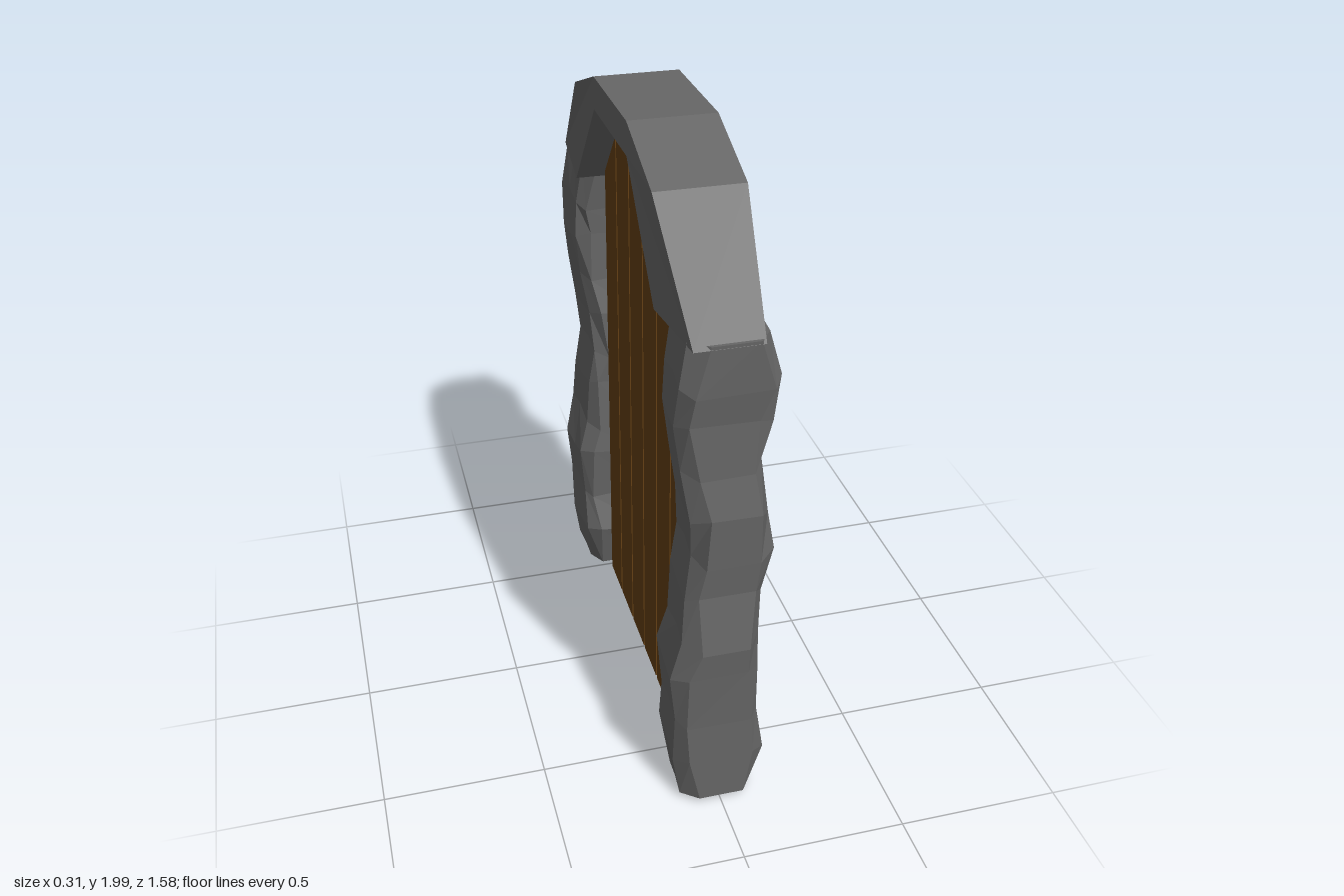
import * as THREE from 'three';

const mat = (color, flatShading = true) =>
  new THREE.MeshStandardMaterial({ color, flatShading, roughness: 0.9 });

// Extrude an outline drawn in (z, y) along x, from x0 to x1
function slab(outline, x0, x1) {
  const shape = new THREE.Shape(outline.map(([z, y]) => new THREE.Vector2(-z, y)));
  return new THREE.ExtrudeGeometry(shape, { depth: x1 - x0, bevelEnabled: false })
    .rotateY(Math.PI / 2).translate(x0, 0, 0);
}

// Rough pillar rings: y, back x, front x, inner z, outer z
const RINGS = [
  [0.03, -0.12, 0.115, 0.52, 0.765], [0.17, -0.14, 0.15, 0.475, 0.765],
  [0.33, -0.14, 0.12, 0.515, 0.765], [0.5, -0.155, 0.12, 0.495, 0.78],
  [0.62, -0.125, 0.115, 0.5, 0.79], [0.78, -0.115, 0.12, 0.51, 0.765],
  [0.91, -0.095, 0.15, 0.505, 0.775], [1.05, -0.105, 0.13, 0.505, 0.785],
  [1.2, -0.13, 0.11, 0.53, 0.765], [1.34, -0.145, 0.135, 0.53, 0.762],
  [1.46, -0.14, 0.15, 0.525, 0.775], [1.6, -0.118, 0.115, 0.5, 0.783],
];

// Loft of chamfered sections; side = 1 or -1 mirrors it in z
function pillarGeometry(side) {
  const pos = [], index = [], n = 10;
  RINGS.forEach(([y, xb, xf, zi, zo], r) => {
    const c = 0.045 + 0.012 * Math.sin(r * 2.3), d = 0.04 + 0.012 * Math.cos(r * 1.7);
    const mid = (zi + zo) / 2 + 0.015 * Math.sin(r * 1.9);
    const section = [
      [xf, zi + c], [xf - 0.008, mid], [xf - 0.01, zo - d], [xf - c, zo], [xb + d, zo],
      [xb, zo - c], [xb + 0.008, mid], [xb + 0.01, zi + d], [xb + c, zi], [xf - d, zi],
    ];
    section.forEach(([x, z], k) => {
      const wobble = r === 0 ? -0.022 * (zo - z) / (zo - zi)
        : r === RINGS.length - 1 ? 0 : 0.018 * Math.sin(r * 3.1 + k * 1.4);
      pos.push(x, y + wobble, z * side);
    });
  });
  const tri = (a, b, c) => (side > 0 ? index.push(a, b, c) : index.push(a, c, b));
  for (let r = 0; r < RINGS.length - 1; r++) {
    for (let k = 0; k < n; k++) {
      const a = r * n + k, b = r * n + (k + 1) % n;
      tri(a, a + n, b);
      tri(b, a + n, b + n);
    }
  }
  // bottom and top caps
  const top = (RINGS.length - 1) * n;
  for (let k = 1; k < n - 1; k++) {
    tri(0, k, k + 1);
    tri(top, top + k + 1, top + k);
  }
  const g = new THREE.BufferGeometry();
  g.setAttribute('position', new THREE.Float32BufferAttribute(pos, 3));
  g.setIndex(index);
  g.computeVertexNormals();
  return g;
}

function archGeometry() {
  const half = [[0.49, 1.575], [0.783, 1.59], [0.47, 1.9], [0.2, 2]];
  const mirrored = half.map(([z, y]) => [-z, y]).reverse();
  const g = slab([...half, ...mirrored, [-0.2, 1.9], [0.2, 1.9]], -0.14, 0.12);
  // narrow the outer feet of the arch to meet the pillars
  const p = g.attributes.position;
  for (let i = 0; i < p.count; i++) {
    if (Math.abs(p.getZ(i)) > 0.7) p.setX(i, p.getX(i) > 0 ? 0.08 : -0.115);
  }
  g.computeVertexNormals();
  return g;
}

export function createModel() {
  const model = new THREE.Group();
  const stone = mat(0x666666), wood = mat(0x643f14);
  const metal = mat(0xd96c14), ringMetal = mat(0xd96c14, false);
  const add = (name, geometry, material, parent = model) => {
    const mesh = new THREE.Mesh(geometry, material);
    mesh.name = name;
    parent.add(mesh);
    return mesh;
  };

  // Stone surround
  add('arch', archGeometry(), stone);
  add('pillarNear', pillarGeometry(1), stone);
  add('pillarFar', pillarGeometry(-1), stone);

  // Planks, their tops cut to the slope of the arch
  const door = new THREE.Group();
  door.name = 'door';
  model.add(door);
  const topY = (z) => 1.9 - Math.max(0, Math.abs(z) - 0.2) * 1.1;
  for (let i = 0; i < 6; i++) {
    const z1 = 0.5 - i * 0.1636, z0 = z1 - 0.152;
    const kinks = [0.2, -0.2].filter((z) => z < z1 && z > z0);
    const outline = [[z0, 0.02], [z1, 0.02], ...[z1, ...kinks, z0].map((z) => [z, topY(z)])];
    add('plank' + (i + 1), slab(outline, -0.05, 0.035), wood, door);
  }

  // Cross straps
  [0.52, 1.495].forEach((y, i) => {
    add('strap' + (i + 1), new THREE.BoxGeometry(0.04, 0.08, 0.935), metal, door)
      .position.set(0.04, y, 0.007);
  });

  // Handle: block with a pyramid face, and a tilted ring
  const handle = new THREE.Group();
  handle.name = 'handle';
  handle.position.set(0, 0, -0.232);
  door.add(handle);
  add('handleBlock', new THREE.BoxGeometry(0.05, 0.105, 0.1), metal, handle)
    .position.set(0.05, 1.018, 0);
  const stud = new THREE.ConeGeometry(0.0725, 0.035, 4).rotateY(Math.PI / 4).rotateZ(-Math.PI / 2);
  add('handleStud', stud, metal, handle).position.set(0.0925, 1.018, 0);
  const ring = new THREE.TorusGeometry(0.118, 0.03, 12, 40).rotateY(Math.PI / 2).rotateZ(0.17);
  add('handleRing', ring, ringMetal, handle).position.set(0.088, 0.9, 0);

  return model;
}
